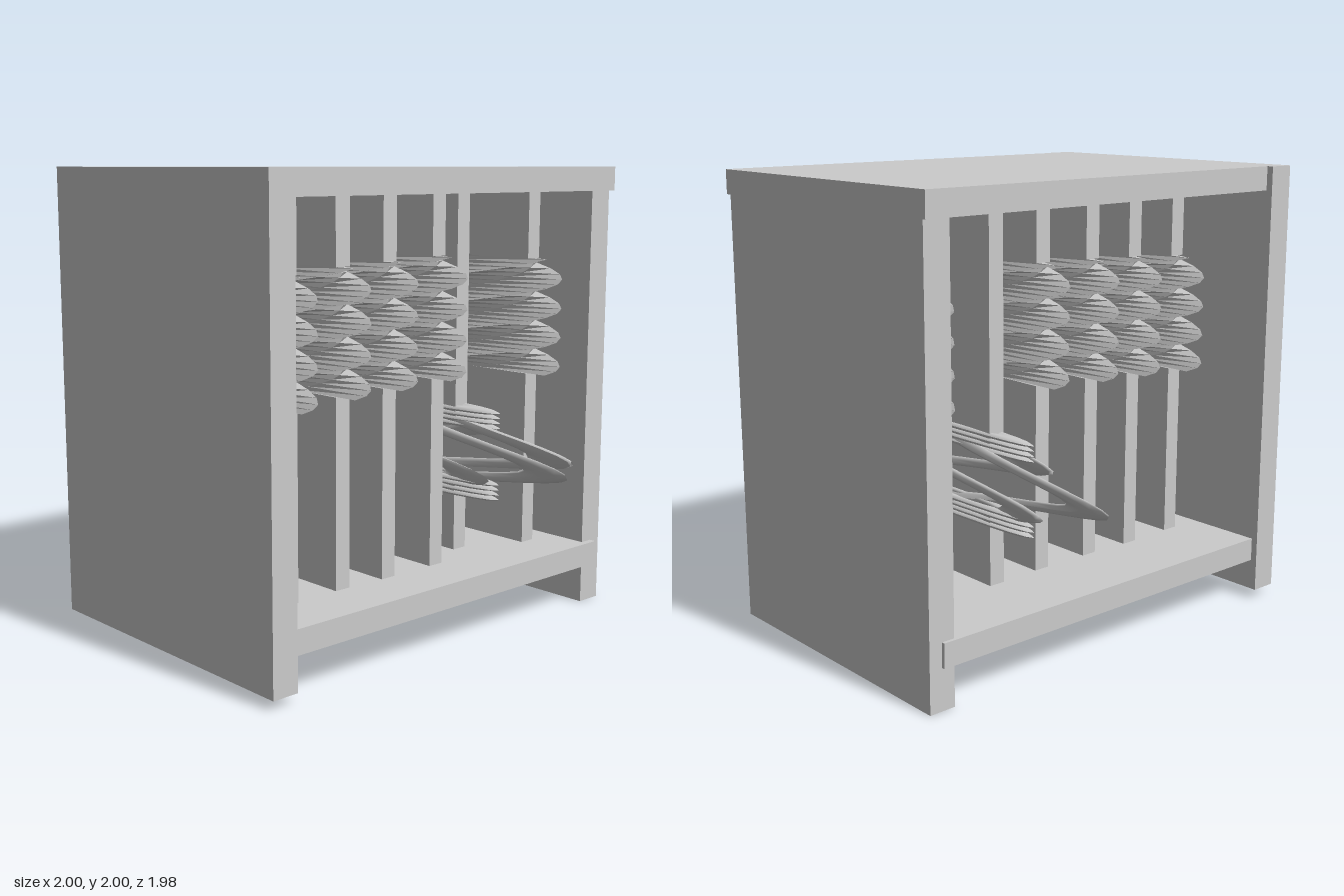
import * as THREE from 'three';

const DEPTH = 10.6; // the ironwork is this many times deeper than wide
const BAR = 0.075;

export function createModel() {
  const model = new THREE.Group();
  const flat = new THREE.MeshStandardMaterial({ color: 0xcccccc, flatShading: true });
  const smooth = new THREE.MeshStandardMaterial({ color: 0xcccccc });

  function add(name, geometry, material = flat, parent = model) {
    const mesh = new THREE.Mesh(geometry, material);
    mesh.name = name;
    parent.add(mesh);
    return mesh;
  }

  // Box given by its limits on each axis
  function block(name, [x0, x1], [y0, y1], [z0, z1], parent = model) {
    const mesh = add(name, new THREE.BoxGeometry(x1 - x0, y1 - y0, z1 - z0), flat, parent);
    mesh.position.set((x0 + x1) / 2, (y0 + y1) / 2, (z0 + z1) / 2);
    return mesh;
  }

  // Frame
  block('rightPost', [-1, -0.88], [0.04, 2], [-0.72, 0.71]);
  block('leftPost', [0.88, 1], [0, 2], [-0.675, 0.665]);
  block('topRail', [-0.88, 1], [1.895, 2], [-0.69, 0.695]);
  block('bottomRail', [-0.88, 0.94], [0.18, 0.285], [-0.69, 0.695]);

  // Square bar twisted through one full turn
  function twistGeometry(height) {
    const geometry = new THREE.BoxGeometry(BAR, height, BAR, 2, 24, 2);
    const p = geometry.attributes.position;
    for (let i = 0; i < p.count; i++) {
      const a = (p.getY(i) / height + 0.5) * Math.PI * 2 + 0.3;
      const x = p.getX(i), z = p.getZ(i);
      p.setX(i, x * Math.cos(a) + z * Math.sin(a));
      p.setZ(i, z * Math.cos(a) - x * Math.sin(a));
    }
    geometry.scale(1, 1, DEPTH);
    geometry.computeVertexNormals();
    return geometry;
  }

  function barPiece(name, y0, y1, parent) {
    const half = BAR / 2;
    return block(name, [-half, half], [y0, y1], [-half * DEPTH, half * DEPTH], parent);
  }

  // Twisted balusters: x, bottom of twist, z
  const twisted = [
    [-0.7, 1.07, 0.06], [-0.415, 1.09, 0.05], [-0.165, 1.1, 0.06],
    [0.122, 1.11, 0.06], [0.712, 1.075, 0.08],
  ];
  for (const [x, y, z] of twisted) {
    const baluster = new THREE.Group();
    baluster.name = 'twistedBaluster';
    baluster.position.set(x, 0, z);
    barPiece('lowerBar', 0.285, y, baluster);
    barPiece('upperBar', y + 0.52, 1.895, baluster);
    add('twist', twistGeometry(0.52), flat, baluster).position.y = y + 0.26;
    model.add(baluster);
  }

  // Basket baluster
  const basket = new THREE.Group();
  basket.name = 'basketBaluster';
  basket.position.set(0.388, 0, 0);
  model.add(basket);
  for (const piece of [barPiece('lowerBar', 0.285, 0.6, basket), barPiece('upperBar', 0.9, 1.895, basket)]) {
    piece.scale.z = 0.88;
  }

  // Bulging wires, each swept about the axis
  for (const degrees of [65, 115, 187, 270, 350]) {
    const points = [];
    for (let i = 0; i <= 10; i++) {
      const t = i / 10;
      const a = THREE.MathUtils.degToRad(degrees + (t - 0.5) * 150);
      const r = 0.034 + 0.05 * Math.sin(t * Math.PI);
      points.push(new THREE.Vector3(r * Math.cos(a), 0.6 + t * 0.3, r * Math.sin(a)));
    }
    const wire = new THREE.TubeGeometry(new THREE.CatmullRomCurve3(points), 16, 0.012, 8);
    wire.scale(1, 1, DEPTH);
    wire.computeVertexNormals();
    add('basketWire', wire, smooth, basket);
  }

  // Coiled collars above and below the wires
  for (const y0 of [0.552, 0.872]) {
    for (let i = 0; i < 4; i++) {
      const ring = new THREE.TorusGeometry(0.043, 0.012, 8, 20);
      ring.rotateX(Math.PI / 2);
      ring.rotateZ(0.1);
      ring.scale(1, 1, DEPTH);
      ring.computeVertexNormals();
      add('collarRing', ring, smooth, basket).position.y = y0 + i * 0.022;
    }
  }

  return model;
}
